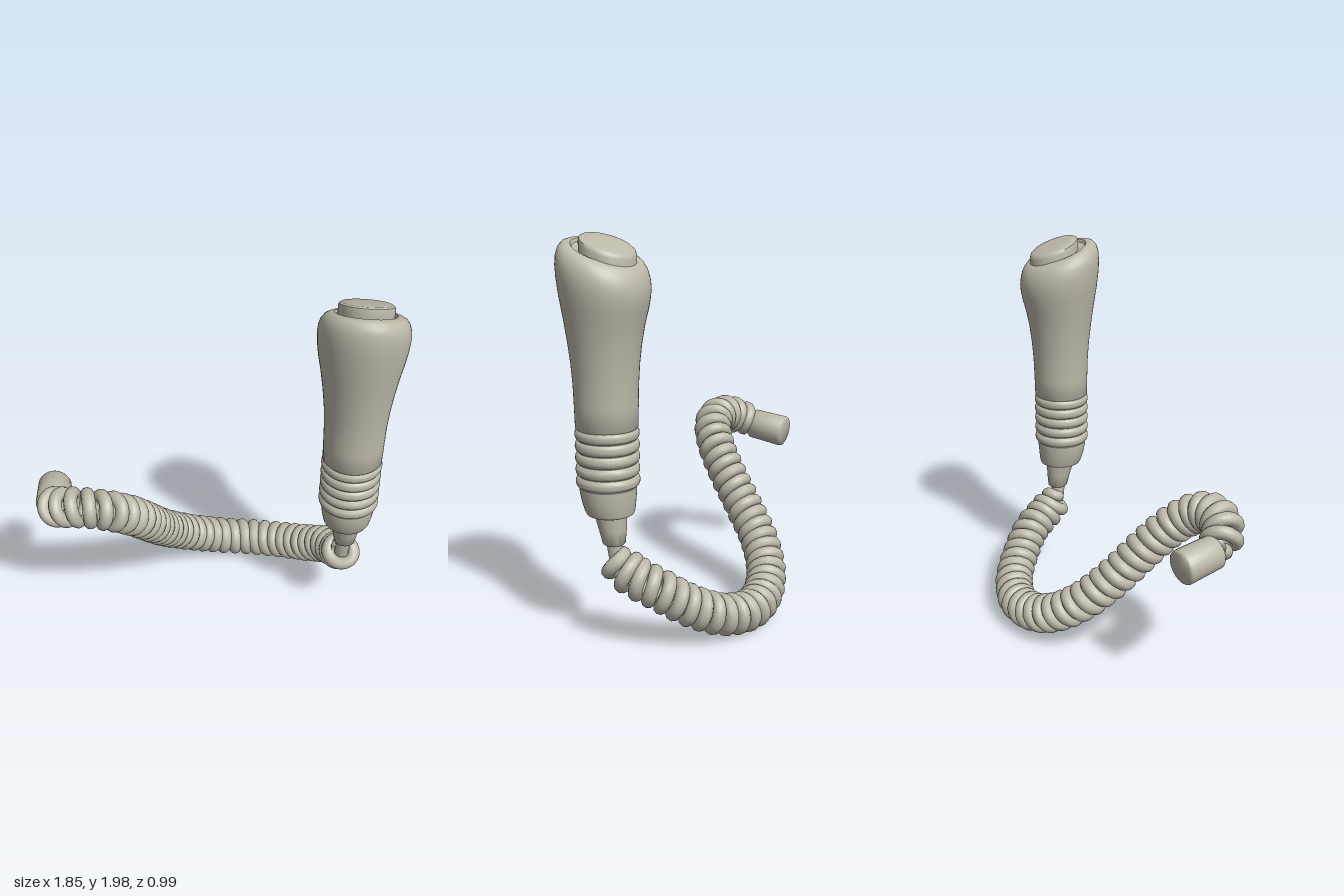
import * as THREE from 'three';
import { toCreasedNormals } from 'three/addons/utils/BufferGeometryUtils.js';

const AXIS_X = 0.71;
const plastic = new THREE.MeshStandardMaterial({ color: 0xbdb9aa });
plastic.name = 'warm grey plastic';

// Turned part on the handle axis: slight lean at the neck, slanted top
function turned(name, profile, offsetZ = 0) {
  const geo = new THREE.LatheGeometry(profile.map(([r, y]) => new THREE.Vector2(r, y)), 48);
  const p = geo.attributes.position;
  for (let i = 0; i < p.count; i++) {
    const x = p.getX(i), y = p.getY(i), z = p.getZ(i) + offsetZ;
    const lean = 0.025 + 0.03 * THREE.MathUtils.smoothstep(y, 0.5, 0.8);
    const slant = 0.36 * THREE.MathUtils.smoothstep(y, 1.45, 1.88);
    p.setXYZ(i, x + AXIS_X, y + slant * z, z + lean);
  }
  const mesh = new THREE.Mesh(toCreasedNormals(geo, 0.7), plastic);
  mesh.name = name;
  return mesh;
}

function tube(name, curve, segments, radius, sides) {
  const mesh = new THREE.Mesh(new THREE.TubeGeometry(curve, segments, radius, sides), plastic);
  mesh.name = name;
  return mesh;
}

const vectors = (list) => list.map((p) => new THREE.Vector3(...p));

// Helix wound around a centre line, narrowing at both ends
class CoilCurve extends THREE.Curve {
  constructor(path, turns, radius) {
    super();
    Object.assign(this, { path, turns, radius, steps: 400 });
    this.frames = path.computeFrenetFrames(this.steps, false);
  }
  getPoint(t, target = new THREE.Vector3()) {
    const f = t * this.steps, i = Math.min(Math.floor(f), this.steps - 1), k = f - i;
    const n = this.frames.normals[i].clone().lerp(this.frames.normals[i + 1], k).normalize();
    const b = this.frames.binormals[i].clone().lerp(this.frames.binormals[i + 1], k).normalize();
    const a = t * this.turns * Math.PI * 2;
    const r = this.radius * Math.min(1, 0.35 + 40 * Math.min(t, 1 - t));
    return target.copy(this.path.getPointAt(t))
      .addScaledVector(n, r * Math.cos(a)).addScaledVector(b, r * Math.sin(a));
  }
}

export function createModel() {
  const model = new THREE.Group();
  const handle = new THREE.Group();
  handle.name = 'handle';
  model.add(handle);

  // Flared body with rounded shoulder
  handle.add(turned('handleBody', [
    [0, 1.09], [0.14, 1.09], [0.148, 1.1], [0.15, 1.2], [0.153, 1.3], [0.16, 1.4], [0.172, 1.5],
    [0.188, 1.6], [0.204, 1.68], [0.214, 1.75], [0.217, 1.8], [0.213, 1.84], [0.203, 1.872],
    [0.188, 1.893], [0.168, 1.905], [0.145, 1.908], [0.138, 1.895], [0, 1.895],
  ]));

  // Raised button on the slanted top
  handle.add(turned('topButton', [
    [0.131, 1.88], [0.131, 1.935], [0.127, 1.949], [0.116, 1.957], [0.06, 1.959], [0, 1.959],
  ], -0.03));

  // Ribbed grip
  const ribs = [[0, 0.8]];
  const ribHeight = 0.057;
  for (let i = 0; i < 5; i++) {
    for (let j = 0; j <= 8; j++) {
      const s = j / 8;
      ribs.push([0.137 + 0.015 * Math.pow(Math.sin(Math.PI * s), 0.5), 0.812 + (i + s * 0.96) * ribHeight]);
    }
  }
  ribs.push([0, 1.1]);
  handle.add(turned('ribbedGrip', ribs));

  // Collar and strain relief
  handle.add(turned('collar', [
    [0, 0.67], [0.095, 0.67], [0.112, 0.677], [0.12, 0.695], [0.129, 0.74], [0.136, 0.79],
    [0.136, 0.808], [0.128, 0.815], [0, 0.815],
  ]));
  handle.add(turned('strainRelief', [
    [0, 0.525], [0.05, 0.525], [0.055, 0.53], [0.067, 0.6], [0.08, 0.68], [0, 0.68],
  ]));

  // Straight wire between the handle and the coil
  handle.add(tube('neckWire', new THREE.CatmullRomCurve3(vectors([
    [0.71, 0.56, 0.03], [0.705, 0.5, 0.025], [0.7, 0.43, 0.015],
  ])), 12, 0.038, 12));

  // Coiled cord
  const path = new THREE.CatmullRomCurve3(vectors([
    [0.705, 0.46, 0.02], [0.69, 0.39, -0.04], [0.62, 0.31, -0.17], [0.5, 0.21, -0.28],
    [0.36, 0.14, -0.36], [0.18, 0.11, -0.39], [0, 0.13, -0.35], [-0.14, 0.195, -0.27],
    [-0.245, 0.305, -0.15], [-0.305, 0.45, 0], [-0.345, 0.6, 0.14], [-0.4, 0.735, 0.265],
    [-0.49, 0.825, 0.355], [-0.61, 0.855, 0.39], [-0.72, 0.83, 0.375], [-0.8, 0.775, 0.31],
  ]), false, 'centripetal');
  path.arcLengthDivisions = 800;
  model.add(tube('coiledCord', new CoilCurve(path, 37, 0.071), 1100, 0.035, 10));

  // Plug at the free end, axis pointing to the back
  const plugProfile = [
    [0, -0.105], [0.076, -0.105], [0.084, -0.1], [0.088, -0.09], [0.084, 0.095], [0.076, 0.105], [0, 0.105],
  ];
  const plugGeo = new THREE.LatheGeometry(plugProfile.map(([r, y]) => new THREE.Vector2(r, y)), 32);
  const plug = new THREE.Mesh(toCreasedNormals(plugGeo, 0.7), plastic);
  plug.name = 'endPlug';
  const [back, front] = vectors([[-0.845, 0.745, 0.095], [-0.8, 0.775, 0.295]]);
  plug.position.lerpVectors(back, front, 0.5);
  plug.quaternion.setFromUnitVectors(new THREE.Vector3(0, 1, 0), front.sub(back).normalize());
  model.add(plug);

  return model;
}
